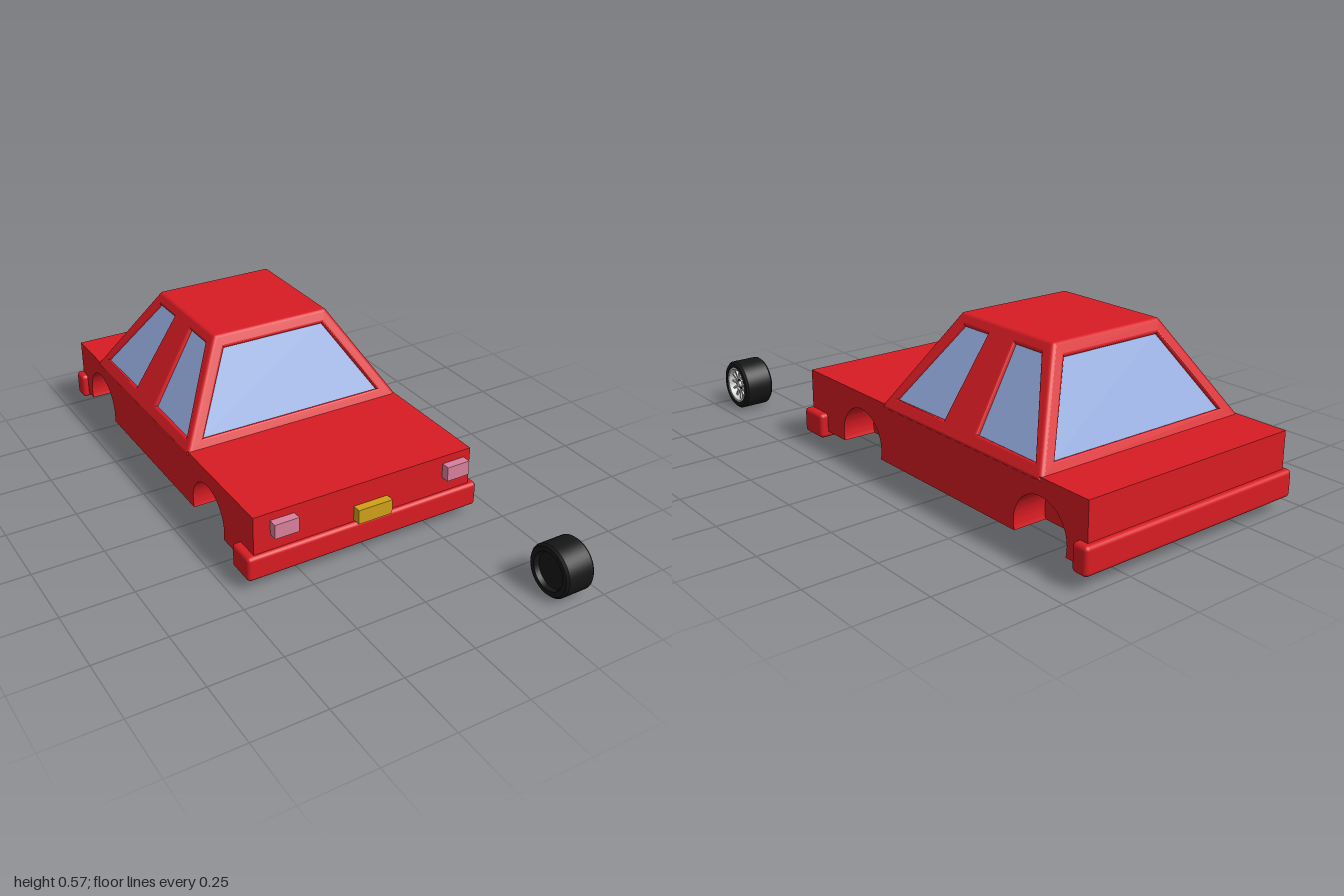
import * as THREE from 'three';
import { toCreasedNormals } from 'three/addons/utils/BufferGeometryUtils.js';
import { RoundedBoxGeometry } from 'three/addons/geometries/RoundedBoxGeometry.js';

const mat = (color) => new THREE.MeshStandardMaterial({ color });
const RED = mat(0xd81c23), GLASS = mat(0x93abdd), PINK = mat(0xd8809c);
const YELLOW = mat(0xd0a018), BLACK = mat(0x161616), GREY = mat(0xcccccc);
const V = (x, y, z) => new THREE.Vector3(x, y, z);

function add(parent, name, geometry, material, x = 0, y = 0, z = 0) {
  const mesh = new THREE.Mesh(geometry, material);
  mesh.name = name;
  mesh.position.set(x, y, z);
  parent.add(mesh);
  return mesh;
}

// Lower body: a core slab and two outer slabs with wheel arches
function makeBody(car) {
  const half = 0.41, depth = 0.12, bottom = 0.063, top = 0.265;
  const slab = (arches, width) => {
    const s = new THREE.Shape();
    s.moveTo(-0.425, top);
    s.lineTo(-0.425, bottom);
    if (arches) {
      for (const a of [-0.112, 0.786]) {
        const r = 0.113, cy = 0.095, t = Math.asin((cy - bottom) / r);
        s.absarc(a, cy, r, Math.PI + t, -t, true);
      }
    }
    s.lineTo(0.98, bottom);
    s.lineTo(0.98, top);
    const g = new THREE.ExtrudeGeometry(s, { depth: width, bevelEnabled: false, curveSegments: 24 });
    return toCreasedNormals(g.rotateY(Math.PI / 2), 0.5);
  };
  add(car, 'bodyCore', slab(false, 2 * (half - depth)), RED, depth - half);
  add(car, 'leftBodySide', slab(true, depth), RED, half - depth);
  add(car, 'rightBodySide', slab(true, depth), RED, -half);
}

// Cabin: tapered box with rounded edges and recessed windows
function makeCabin(car) {
  const cabin = new THREE.Group();
  cabin.name = 'cabin';
  car.add(cabin);
  const r = 0.015, y0 = 0.254, y1 = 0.575 - r;
  const corner = (sx, front, y) => V(
    sx * (0.4105 - 0.62 * (y - 0.265) - r * 1.18), y,
    front ? -0.02 - 0.54 * (y - 0.265) - r * 1.14 : -0.79 + 0.56 * (y - 0.265) + r * 1.14);
  const ring = [[-1, true], [1, true], [1, false], [-1, false]];
  const low = ring.map(([s, f]) => corner(s, f, y0));
  const high = ring.map(([s, f]) => corner(s, f, y1));

  // One sloping wall with window openings and glass set behind them
  function wall(name, i, windows) {
    const j = (i + 1) % 4, a = low[i], b = low[j], c = high[j], d = high[i];
    const u = b.clone().sub(a).normalize();
    const v = d.clone().sub(a);
    v.addScaledVector(u, -v.dot(u)).normalize();
    const n = u.clone().cross(v);
    const flat = (p) => new THREE.Vector2(p.clone().sub(a).dot(u), p.clone().sub(a).dot(v));
    const shape = new THREE.Shape([a, b, c, d].map(flat));
    const outlines = windows.map((w) => w.map(([s, y]) =>
      new THREE.Vector2(s - a.dot(u), (y - a.y - r * n.y) / v.y)));
    shape.holes = outlines.map((o) => new THREE.Path(o));
    const g = new THREE.Group();
    g.name = name;
    g.quaternion.setFromRotationMatrix(new THREE.Matrix4().makeBasis(u, v, n));
    g.position.copy(a).addScaledVector(n, r);
    cabin.add(g);
    const bevel = 0.009;
    const frame = new THREE.ExtrudeGeometry(shape, {
      depth: 0.004, bevelThickness: bevel, bevelSize: bevel, bevelSegments: 3 });
    add(g, name + 'Frame', frame, RED, 0, 0, -0.004 - bevel);
    for (const o of outlines)
      add(g, name + 'Glass', new THREE.ShapeGeometry(new THREE.Shape(o)), GLASS, 0, 0, -0.012);
  }
  const screen = [[-0.355, 0.288], [0.355, 0.288], [0.198, 0.543], [-0.198, 0.543]];
  const doors = [
    [[-0.06, 0.287], [-0.328, 0.287], [-0.348, 0.55], [-0.215, 0.55]],
    [[-0.473, 0.287], [-0.753, 0.287], [-0.59, 0.55], [-0.455, 0.55]]];
  const along = (sign) => doors.map((w) => w.map(([z, y]) => [sign * z, y]));
  wall('windscreen', 0, [screen]);
  wall('leftWindows', 1, along(-1));
  wall('rearScreen', 2, [screen]);
  wall('rightWindows', 3, along(1));

  // Rounded pillars and roof edges
  const rod = (p, q) => {
    const dir = q.clone().sub(p);
    const m = add(cabin, 'roundedEdge', new THREE.CylinderGeometry(r, r, dir.length(), 20), RED);
    m.position.copy(p).add(q).multiplyScalar(0.5);
    m.quaternion.setFromUnitVectors(V(0, 1, 0), dir.normalize());
  };
  for (let i = 0; i < 4; i++) {
    rod(low[i], high[i]);
    rod(high[i], high[(i + 1) % 4]);
    add(cabin, 'roofCorner', new THREE.SphereGeometry(r, 20, 14), RED, ...high[i].toArray());
  }
  const w = high[1].x * 2, l = high[1].z - high[2].z;
  add(cabin, 'roof', new THREE.BoxGeometry(w, r, l), RED, 0, y1 + r / 2, (high[1].z + high[2].z) / 2);
}

// Loose wheel with a spoked rim facing outward
function makeWheel() {
  const wheel = new THREE.Group();
  wheel.name = 'wheel';
  const lathe = (pts) => toCreasedNormals(
    new THREE.LatheGeometry(pts.map((p) => new THREE.Vector2(...p)), 40), 0.6);
  add(wheel, 'tyre', lathe([[0, -0.04], [0.06, -0.04], [0.066, -0.055], [0.083, -0.055],
    [0.09, -0.047], [0.09, 0.047], [0.083, 0.055], [0.068, 0.055], [0.066, 0.025], [0, 0.025]]), BLACK);
  add(wheel, 'rimLip', lathe([[0.067, 0.03], [0.067, 0.053], [0.06, 0.053], [0.057, 0.026]]), GREY);
  add(wheel, 'hubRing', new THREE.TorusGeometry(0.024, 0.004, 8, 32).rotateX(Math.PI / 2), GREY, 0, 0.038, 0);
  add(wheel, 'hubCap', new THREE.CylinderGeometry(0.011, 0.014, 0.022, 24), GREY, 0, 0.035, 0);
  for (let i = 0; i < 12; i++) {
    const spoke = new THREE.BoxGeometry(0.038, 0.008, 0.006).translate(0.042, 0.036, 0);
    add(wheel, 'spoke', spoke.rotateY((i * Math.PI) / 6), GREY);
  }
  wheel.rotation.z = -Math.PI / 2;
  wheel.position.set(0.395, 0.09, 0.91);
  return wheel;
}

export function createModel() {
  const model = new THREE.Group();
  model.name = 'carWithLooseWheel';
  const car = new THREE.Group();
  car.name = 'car';
  car.position.x = -0.0125;
  model.add(car);

  makeBody(car);
  makeCabin(car);

  // Bumpers
  add(car, 'frontBumper', new RoundedBoxGeometry(0.876, 0.088, 0.11, 4, 0.014), RED, 0, 0.084, 0.385);
  add(car, 'rearBumper', new RoundedBoxGeometry(0.866, 0.092, 0.06, 4, 0.014), RED, 0, 0.092, -0.97);

  // Headlights and number plate
  for (const s of [-1, 1])
    add(car, s > 0 ? 'leftHeadlight' : 'rightHeadlight',
      new THREE.BoxGeometry(0.086, 0.052, 0.045), PINK, s * 0.325 + 0.0175, 0.211, 0.433);
  add(car, 'plate', new THREE.BoxGeometry(0.128, 0.052, 0.045), YELLOW, 0.0185, 0.16, 0.433);

  model.add(makeWheel());
  return model;
}
